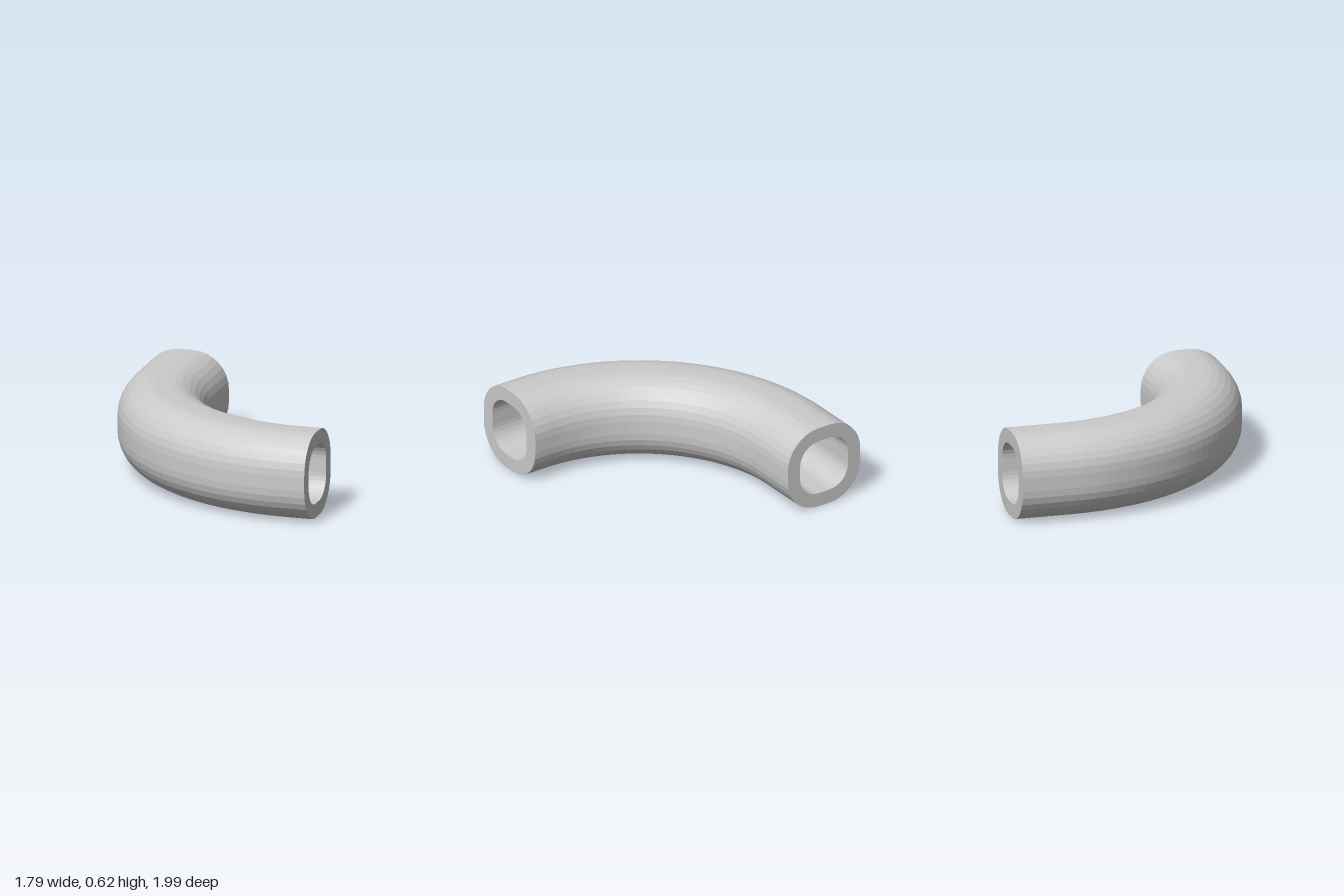
import * as THREE from 'three';

const HALF = 0.3075;       // half the outer section
const WALL = 0.103;        // wall thickness
const FLAT = 0.048;        // half the flat on each side of the section
const BEND = { x: 0.72, z: -0.62, radius: 1.305, steps: 32 };

// Rounded square outline: four corner arcs joined by short flats
function roundedSquare(path, half) {
  const signs = [[1, 1], [-1, 1], [-1, -1], [1, -1]];
  signs.forEach(([sx, sy], i) => {
    const a = i * Math.PI / 2;
    path.absarc(sx * FLAT, sy * FLAT, half - FLAT, a, a + Math.PI / 2, false);
  });
  path.closePath();
  return path;
}

export function createModel() {
  const group = new THREE.Group();
  group.name = 'pipeElbow';

  // Hollow section extruded straight, one step per station along the path
  const section = roundedSquare(new THREE.Shape(), HALF);
  section.holes.push(roundedSquare(new THREE.Path(), HALF - WALL));
  const stations = BEND.steps + 2;
  const geometry = new THREE.ExtrudeGeometry(section, {
    depth: stations, steps: stations, bevelEnabled: false, curveSegments: 4,
  });

  // Bend: straight lead-in, quarter turn, straight lead-out
  const pos = geometry.attributes.position;
  for (let i = 0; i < pos.count; i++) {
    const station = Math.round(pos.getZ(i));
    const turn = THREE.MathUtils.clamp((station - 1) / BEND.steps, 0, 1) * Math.PI / 2;
    const r = BEND.radius - pos.getX(i);
    let x = BEND.x - r * Math.cos(turn);
    let z = BEND.z + r * Math.sin(turn);
    if (station === 0) z = -1;
    if (station === stations) x = 0.893;
    pos.setXYZ(i, x, pos.getY(i) + HALF, z);
  }
  geometry.computeVertexNormals();

  const pipe = new THREE.Mesh(
    geometry,
    new THREE.MeshStandardMaterial({ color: 0xcccccc, flatShading: true }),
  );
  pipe.name = 'bentPipe';
  group.add(pipe);
  return group;
}
